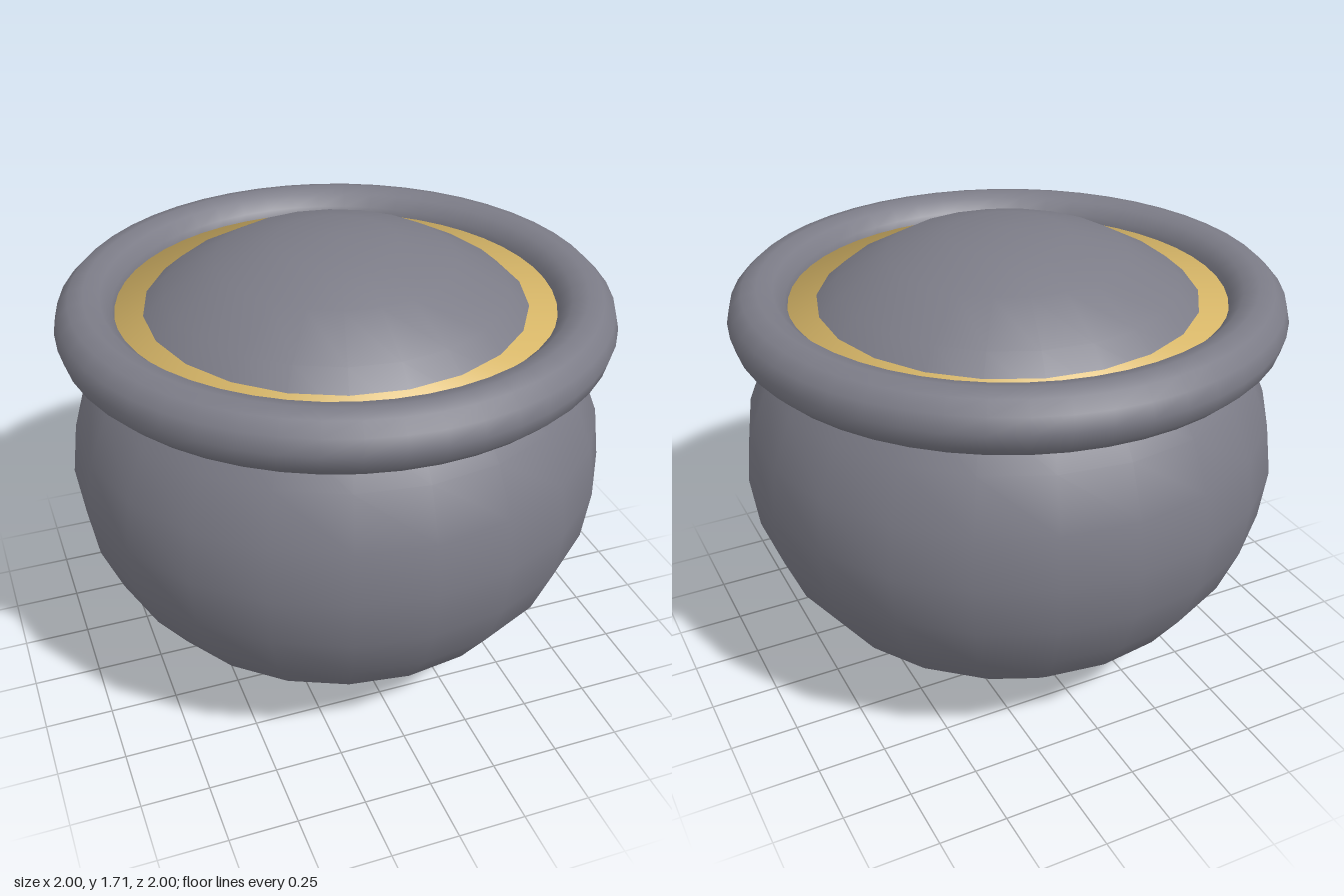
import * as THREE from 'three';

export function createModel() {
  const group = new THREE.Group();
  group.name = 'pot';

  const iron = new THREE.MeshStandardMaterial({ color: 0x7c7c87 });
  iron.name = 'iron grey';
  const gold = new THREE.MeshStandardMaterial({ color: 0xd9b869 });
  gold.name = 'gold';

  const add = (name, geometry, material, y) => {
    const mesh = new THREE.Mesh(geometry, material);
    mesh.name = name;
    mesh.position.y = y;
    group.add(mesh);
    return mesh;
  };

  // Slightly squashed round body, its crown rising through the rim
  const body = new THREE.SphereGeometry(0.99, 22, 14);
  body.rotateY(Math.PI / 2);
  body.scale(1, 0.857 / 0.99, 1);
  add('body', body, iron, 0.857);

  // Thick rounded rim
  const rim = new THREE.TorusGeometry(0.89, 0.11, 12, 48);
  rim.rotateX(Math.PI / 2);
  add('rim', rim, iron, 1.435);

  // Gold disc filling the gap between rim and body, with a softly rounded edge
  const disc = new THREE.CylinderGeometry(0.83, 0.83, 0.05, 48);
  const pos = disc.attributes.position;
  const normal = disc.attributes.normal;
  for (let i = 0; i < pos.count; i++) {
    const x = pos.getX(i), z = pos.getZ(i), r = Math.hypot(x, z);
    if (r < 0.1) continue;
    const up = Math.sign(pos.getY(i)) * 0.64;
    normal.setXYZ(i, (x / r) * 0.77, up, (z / r) * 0.77);
  }
  add('goldInlay', disc, gold, 1.44);

  return group;
}
